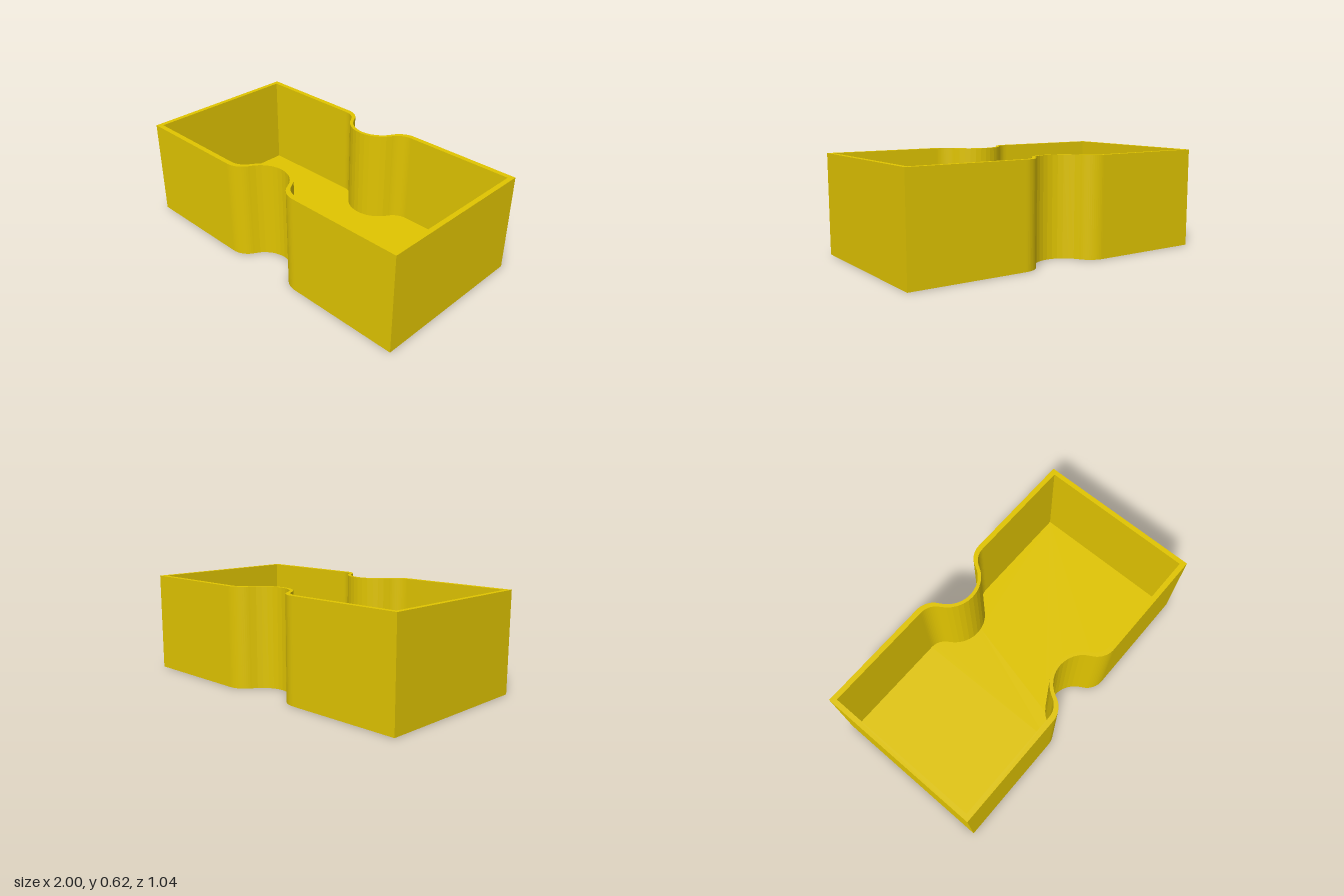
import * as THREE from 'three';

const HALF_DEPTH = 0.52, HEIGHT = 0.62, FLOOR = 0.03;

// Rectangle whose two long sides dip inward in a round notch with filleted shoulders
function outline(halfX, halfZ, notchR, fillet) {
  const cy = -(halfZ - fillet), drop = HALF_DEPTH + cy;
  const d = Math.sqrt((notchR + fillet) ** 2 - drop ** 2);
  const t = Math.atan2(-drop, d);
  const side = new THREE.Path();
  side.moveTo(-halfX, -halfZ);
  side.lineTo(-d, -halfZ);
  side.absarc(-d, cy, fillet, -Math.PI / 2, t, false);
  side.absarc(0, -HALF_DEPTH, notchR, Math.PI + t, -t, true);
  side.absarc(d, cy, fillet, Math.PI - t, Math.PI * 1.5, false);
  side.lineTo(halfX, -halfZ);
  const pts = side.getPoints(6);
  // the opposite side is the same line turned half a turn
  return [...pts, ...pts.map((p) => new THREE.Vector2(-p.x, -p.y))];
}

// Upright prism with flat facets
function extrudeUp(shape, depth) {
  const geo = new THREE.ExtrudeGeometry(shape, { depth, bevelEnabled: false });
  return geo.rotateX(-Math.PI / 2);
}

export function createModel() {
  const group = new THREE.Group();
  group.name = 'notchedTray';
  const material = new THREE.MeshStandardMaterial({ color: 0xe0c400 });

  const outer = outline(1, HALF_DEPTH, 0.177, 0.13);
  const inner = outline(0.97, 0.488, 0.198, 0.115);

  // Thin wall ring, full height
  const wallShape = new THREE.Shape(outer);
  wallShape.holes.push(new THREE.Path(inner));
  const walls = new THREE.Mesh(extrudeUp(wallShape, HEIGHT), material);
  walls.name = 'walls';

  // Floor panel inside the ring
  const floor = new THREE.Mesh(extrudeUp(new THREE.Shape(inner), FLOOR), material);
  floor.name = 'floor';

  group.add(walls, floor);
  return group;
}
